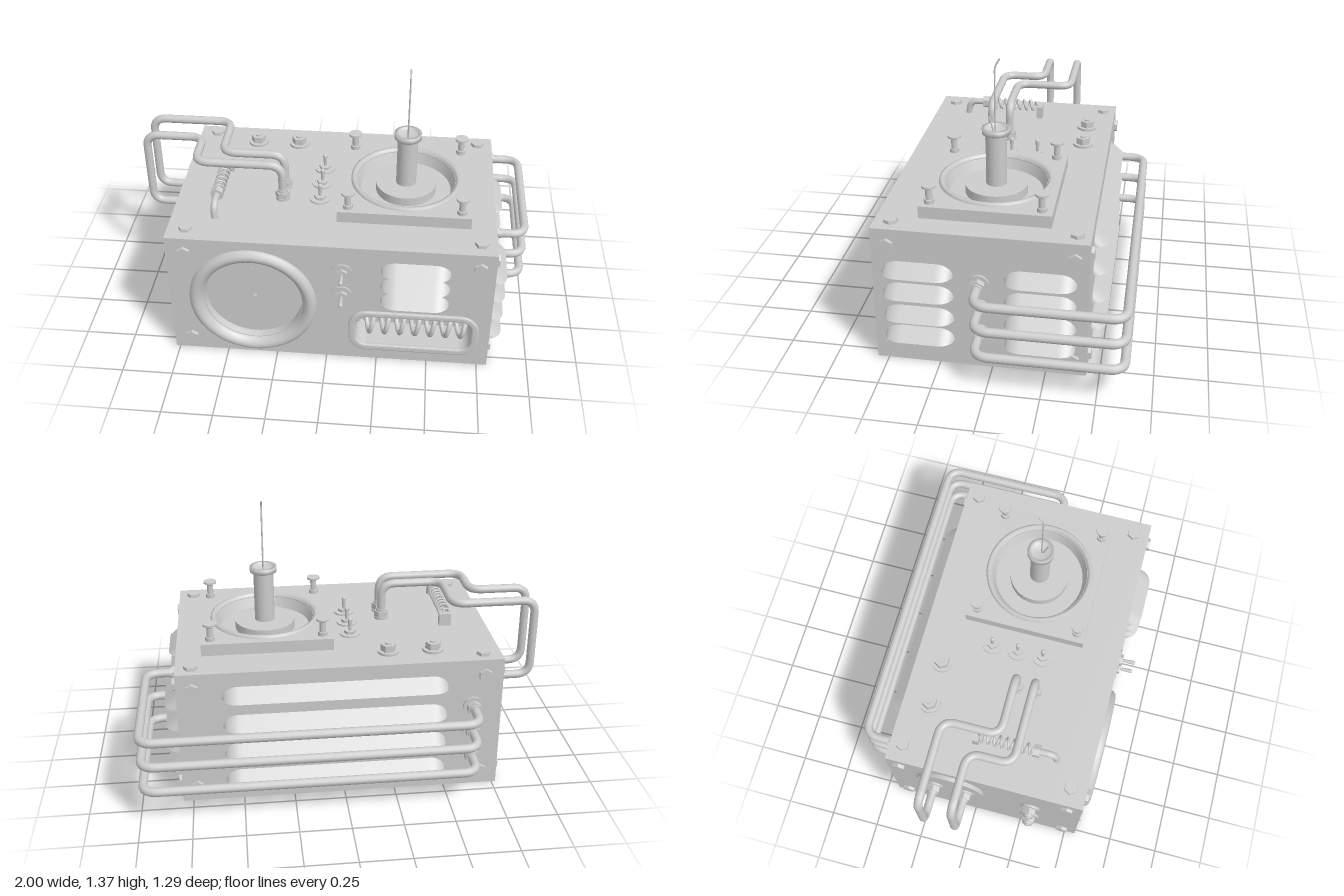
import * as THREE from 'three';

const V = (x, y, z) => new THREE.Vector3(x, y, z);
const UP = V(0, 1, 0), FRONT = V(0, 0, 1), BACK = V(0, 0, -1), LEFT = V(1, 0, 0), RIGHT = V(-1, 0, 0);
const smooth = new THREE.MeshStandardMaterial({ color: 0xcccccc });
const flat = new THREE.MeshStandardMaterial({ color: 0xcccccc, flatShading: true });
const thin = new THREE.MeshStandardMaterial({ color: 0xcccccc, side: THREE.DoubleSide });

export function createModel() {
  const root = new THREE.Group();

  function add(name, geo, mat = smooth, parent = root, x = 0, y = 0, z = 0) {
    const m = new THREE.Mesh(geo, mat);
    m.name = name;
    m.position.set(x, y, z);
    parent.add(m);
    return m;
  }
  // group whose local +y points out of a face
  function mount(name, pos, normal) {
    const g = new THREE.Group();
    g.name = name;
    g.position.copy(pos);
    g.quaternion.setFromUnitVectors(UP, normal);
    if (normal.z === 0) g.rotateY(Math.PI / 2);
    root.add(g);
    return g;
  }
  function disc(name, parent, r, y0, y1, sides = 32, r2 = r) {
    return add(name, new THREE.CylinderGeometry(r2, r, y1 - y0, sides), sides === 6 ? flat : smooth, parent, 0, (y0 + y1) / 2, 0);
  }
  function lathe(name, parent, pts, seg = 48) {
    return add(name, new THREE.LatheGeometry(pts.map(p => new THREE.Vector2(...p)), seg), thin, parent);
  }
  // polyline with rounded corners swept as a tube
  function pipe(name, pts, r, bend, seg = 160) {
    const path = new THREE.CurvePath();
    let from = pts[0];
    for (let i = 1; i < pts.length - 1; i++) {
      const p = pts[i];
      const a = p.clone().add(pts[i - 1].clone().sub(p).setLength(bend));
      const b = p.clone().add(pts[i + 1].clone().sub(p).setLength(bend));
      path.add(new THREE.LineCurve3(from, a));
      path.add(new THREE.QuadraticBezierCurve3(a, p, b));
      from = b;
    }
    path.add(new THREE.LineCurve3(from, pts[pts.length - 1]));
    return add(name, new THREE.TubeGeometry(path, seg, r, 12), thin);
  }
  function helix(name, start, axis, length, radius, turns, wire) {
    const side = axis.x ? V(0, 0, 1) : V(1, 0, 0), pts = [], n = turns * 14;
    for (let i = 0; i <= n; i++) {
      const t = i / n, a = t * turns * Math.PI * 2;
      const r = radius * Math.min(1, t * 12 + 0.15, (1 - t) * 12 + 0.15);
      pts.push(start.clone().addScaledVector(axis, t * length)
        .addScaledVector(side, r * Math.cos(a)).add(V(0, r * Math.sin(a), 0)));
    }
    add(name, new THREE.TubeGeometry(new THREE.CatmullRomCurve3(pts), n * 2, wire, 8), thin);
  }
  function roundRect(T, cx, cy, w, h, r) {
    const s = new T(), P = Math.PI, x = w / 2 - r, y = h / 2 - r;
    s.absarc(cx + x, cy + y, r, 0, P / 2);
    s.absarc(cx - x, cy + y, r, P / 2, P);
    s.absarc(cx - x, cy - y, r, P, 1.5 * P);
    s.absarc(cx + x, cy - y, r, 1.5 * P, 2 * P);
    s.closePath();
    return s;
  }
  const rect = (x0, y0, x1, y1) => new THREE.Shape([[x0, y0], [x1, y0], [x1, y1], [x0, y1]].map(p => new THREE.Vector2(...p)));
  const extrude = (s, depth, bevel = 0) => new THREE.ExtrudeGeometry(s, {
    depth, curveSegments: 24, bevelEnabled: bevel > 0, bevelSize: bevel, bevelThickness: bevel, bevelSegments: 2 });
  const circle = (x, y, r) => new THREE.Path().absarc(x, y, r, 0, Math.PI * 2);

  // body: solid rear block and a front slab with dial and window openings
  const slab = 0.16, zf = 0.555, zb = -0.44;
  add('body', new THREE.BoxGeometry(1.57, 0.7, zf - slab - zb), smooth, root, 0.015, 0.35, (zf - slab + zb) / 2);
  const frontShape = rect(-0.77, 0, 0.8, 0.7);
  frontShape.holes.push(circle(-0.36, 0.34, 0.24), roundRect(THREE.Path, 0.427, 0.192, 0.57, 0.19, 0.06));
  add('frontPanel', extrude(frontShape, slab), smooth, root, 0, 0, zf - slab);

  // dial with raised bezel and needle
  const dial = mount('dial', V(-0.36, 0.34, zf), FRONT);
  lathe('dialBezel', dial, [[0.313, 0], [0.31, 0.016], [0.298, 0.029], [0.282, 0.034], [0.266, 0.029], [0.25, 0.014], [0.238, -0.01], [0.236, -0.045]], 64);
  disc('dialFace', dial, 0.24, -0.08, -0.04, 48);
  const needle = new THREE.Shape([[-0.004, -0.12], [0.004, -0.12], [0.008, 0], [0.003, 0.165], [-0.003, 0.165], [-0.008, 0]].map(p => new THREE.Vector2(...p)));
  add('needle', extrude(needle, 0.008), smooth, root, -0.36, 0.35, zf - 0.036);
  disc('needleHub', dial, 0.014, -0.04, -0.022, 16);

  // window frame with the coil behind it
  const frame = roundRect(THREE.Shape, 0.427, 0.19, 0.62, 0.235, 0.085);
  frame.holes.push(roundRect(THREE.Path, 0.427, 0.192, 0.582, 0.202, 0.066));
  add('windowFrame', extrude(frame, 0.006, 0.008), smooth, root, 0, 0, zf);
  helix('windowCoil', V(0.145, 0.19, 0.475), V(1, 0, 0), 0.565, 0.062, 7.5, 0.012);

  // hooded vents: a plane bent into an open-bottomed hood
  function vent(x, y, z, turn, w, h, d) {
    const geo = new THREE.PlaneGeometry(w, 1, 56, 3), p = geo.attributes.position, r = 0.075;
    for (let i = 0; i < p.count; i++) {
      const u = w / 2 * Math.sin(p.getX(i) / w * Math.PI), k = p.getY(i) + 0.5;
      const e = Math.min(1, Math.max(0, (w / 2 - Math.abs(u)) / r));
      const s = Math.sqrt(1 - (1 - e) ** 2);
      p.setXYZ(i, u, h * s * k, d * s * (1 - k));
    }
    geo.computeVertexNormals();
    add('vent', geo, thin, root, x, y, z).rotation.y = turn;
  }
  for (const y of [0.575, 0.482, 0.388]) vent(0.425, y, zf, 0, 0.33, 0.05, 0.065);
  for (const y of [0.482, 0.367, 0.247, 0.135])
    for (const z of [0.342, -0.222]) vent(0.8, y, z, Math.PI / 2, 0.33, 0.057, 0.066);
  for (const y of [0.565, 0.412, 0.258, 0.105]) vent(0.042, y, zb, Math.PI, 1.085, 0.06, 0.07);

  // hexagonal corner bolts on every face but the base
  const bolt = (pos, n) => disc('bolt', mount('cornerBolt', pos, n), 0.035, -0.005, 0.016, 6, 0.033);
  for (const x of [-0.68, 0.725]) {
    for (const z of [-0.375, 0.475]) bolt(V(x, 0.7, z), UP);
    for (const y of [0.08, 0.62]) {
      bolt(V(x, y, zb), BACK);
      if (x < 0 || y > 0.5) bolt(V(x, y, zf), FRONT);
    }
  }
  for (const y of [0.08, 0.62]) for (const z of [-0.375, 0.48]) {
    bolt(V(0.8, y, z), LEFT);
    bolt(V(-0.77, y, z), RIGHT);
  }

  // washer, nut and collar used at pipe ends and as plugs
  function fitting(name, pos, n, washer = 0.05) {
    const g = mount(name, pos, n);
    disc('washer', g, washer, -0.005, 0.012);
    disc('nut', g, 0.036, 0.012, 0.042, 6);
    disc('collar', g, 0.026, 0.042, 0.055, 20);
    return g;
  }

  // three cooling pipes wrapping from the side round the back
  for (const y of [0.185, 0.322, 0.453]) {
    pipe('coolingPipe', [V(0.79, y, 0.06), V(0.977, y, 0.06), V(0.977, y, -0.62), V(-0.628, y, -0.62), V(-0.628, y, -0.43)], 0.022, 0.075, 240);
    fitting('coolingPipeFitting', V(0.8, y, 0.06), LEFT);
    fitting('coolingPipeFitting', V(-0.628, y, zb), BACK);
  }

  // two bent pipes from the side plate over to the top
  for (const [z0, x, z1] of [[-0.195, -0.56, 0.09], [-0.035, -0.68, 0.185]]) {
    pipe('topPipe', [V(-0.76, 0.48, z0), V(-0.976, 0.48, z0), V(-0.976, 0.89, z0), V(x, 0.89, z0),
      V(x, 0.89, z1), V(-0.25, 0.89, z1), V(-0.25, 0.69, z1)], 0.021, 0.07, 240);
    fitting('topPipeFitting', V(-0.25, 0.7, z1), UP, 0.036);
    fitting('sidePipeFitting', V(-0.787, 0.48, z0), RIGHT, 0.045);
  }
  disc('sidePlate', mount('sidePlateMount', V(-0.77, 0.48, -0.12), RIGHT), 0.175, -0.005, 0.02, 40);
  for (const y of [0.23, 0.44]) disc('plugTip', fitting('sidePlug', V(-0.77, y, 0.3), RIGHT), 0.015, 0.05, 0.062, 16);
  for (const x of [-0.445, -0.225]) {
    const g = mount('topPlug', V(x, 0.7, -0.305), UP);
    disc('washer', g, 0.052, -0.005, 0.012);
    disc('nut', g, 0.038, 0.012, 0.045, 6);
    disc('plugTip', g, 0.016, 0.045, 0.052, 16);
  }

  // toggle switches
  function toggle(pos, n) {
    const g = mount('toggleSwitch', pos, n);
    disc('washer', g, 0.052, -0.005, 0.008);
    disc('nut', g, 0.03, 0.008, 0.022, 6);
    disc('lever', g, 0.007, 0.02, 0.078, 12, 0.011);
    add('leverTip', new THREE.SphereGeometry(0.011, 12, 8), smooth, g, 0, 0.078, 0);
  }
  for (const z of [-0.085, 0.048, 0.178]) toggle(V(-0.065, 0.7, z), UP);
  for (const y of [0.55, 0.412]) toggle(V(0.075, y, zf), FRONT);

  // spring line on the top
  helix('topSpring', V(-0.56, 0.765, -0.02), V(0, 0, 1), 0.28, 0.026, 8, 0.006);
  pipe('springHook', [V(-0.56, 0.77, 0.25), V(-0.56, 0.77, 0.365), V(-0.56, 0.69, 0.375)], 0.017, 0.045, 40);
  disc('springNut', mount('springNutMount', V(-0.56, 0.77, 0.255), FRONT), 0.033, 0, 0.035, 6);
  add('springClip', new THREE.BoxGeometry(0.06, 0.07, 0.03), smooth, root, -0.56, 0.73, -0.03);

  // tower plate with a round well, rim, posts and tower
  const cx = 0.355, cz = 0.053;
  const plate = rect(-0.322, -0.307, 0.322, 0.307);
  plate.holes.push(circle(0, 0, 0.245));
  add('towerPlate', extrude(plate, 0.06), smooth, root, cx, 0.7, cz).rotation.x = -Math.PI / 2;
  const tower = mount('tower', V(cx, 0.7, cz), UP);
  lathe('wellRim', tower, [[0.275, 0.055], [0.273, 0.07], [0.262, 0.075], [0.25, 0.07], [0.243, 0.05], [0.225, 0.005]], 64);
  disc('towerBase', tower, 0.15, 0, 0.045, 40);
  disc('towerColumn', tower, 0.05, 0.03, 0.31);
  lathe('towerCap', tower, [[0.05, 0.305], [0.067, 0.305], [0.067, 0.33], [0.05, 0.33], [0.048, 0.311], [0, 0.311]]);
  pipe('antenna', [V(cx, 1, 0.057), V(cx, 1.33, 0.057), V(cx, 1.37, 0.034)], 0.004, 0.02, 50);
  pipe('shortWire', [V(cx, 1, 0.063), V(cx, 1.03, 0.07), V(cx, 1.085, 0.086)], 0.004, 0.015, 20);
  for (const x of [0.083, 0.63]) for (const z of [-0.203, 0.317]) {
    const post = mount('post', V(x, 0.76, z), UP);
    disc('postFoot', post, 0.024, 0, 0.02, 20);
    disc('postStem', post, 0.016, 0.02, 0.07, 20);
    disc('postFlare', post, 0.016, 0.07, 0.08, 24, 0.032);
    disc('postHead', post, 0.033, 0.08, 0.09, 24);
  }
  return root;
}
